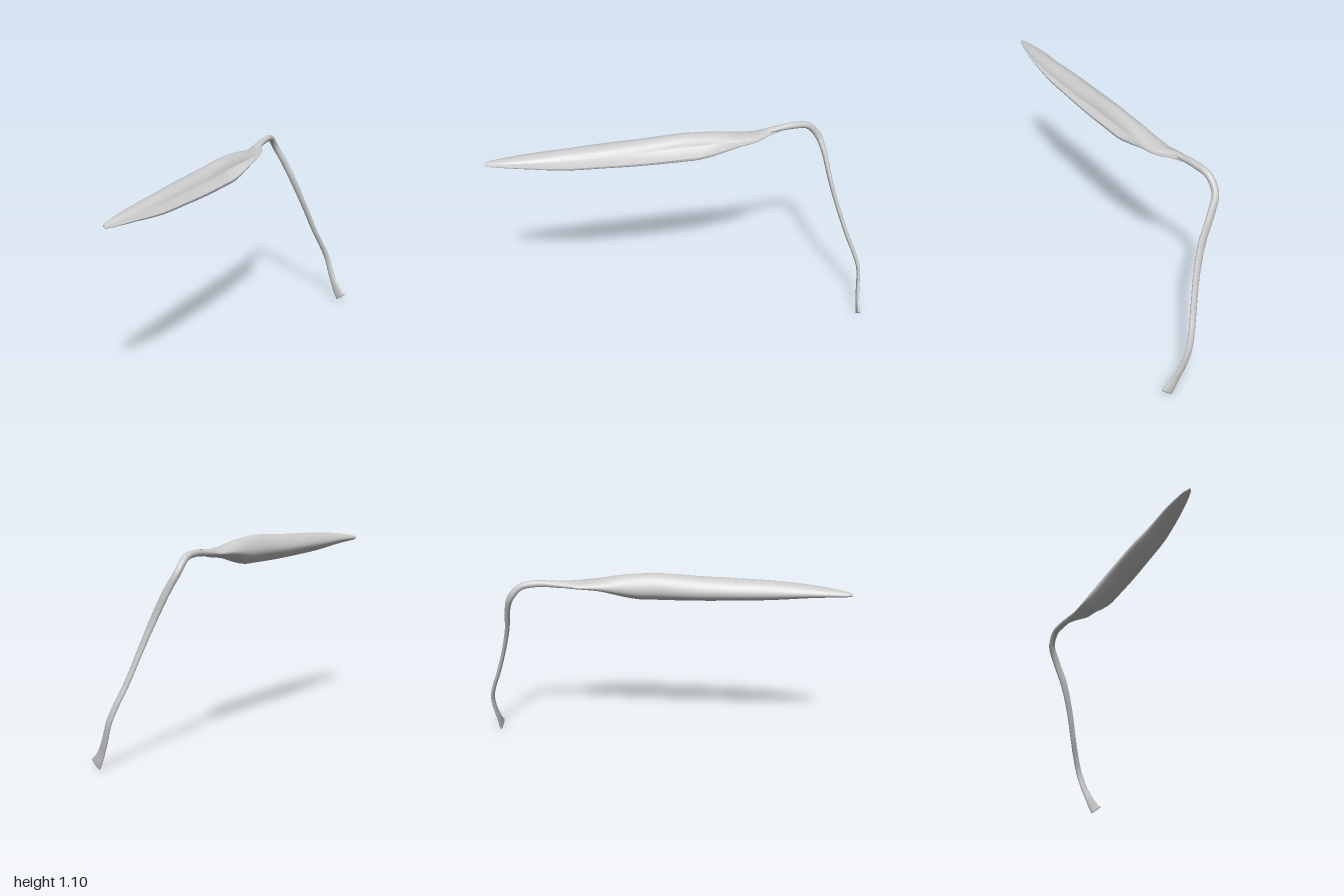
import * as THREE from 'three';

const V = (x, y, z) => new THREE.Vector3(x, y, z);

// Smooth surface through a grid of point rows; closed rows wrap around.
function loft(rows, closed) {
  const n = rows[0].length, pos = [], idx = [];
  rows.forEach(r => r.forEach(p => pos.push(p.x, p.y, p.z)));
  for (let i = 0; i < rows.length - 1; i++) {
    for (let j = 0; j < (closed ? n : n - 1); j++) {
      const k = (j + 1) % n;
      const a = i * n + j, b = i * n + k, c = a + n, d = b + n;
      idx.push(a, b, c, b, d, c);
    }
  }
  const g = new THREE.BufferGeometry();
  g.setAttribute('position', new THREE.Float32BufferAttribute(pos, 3));
  g.setIndex(idx);
  g.computeVertexNormals();
  return g;
}

// Curled blade: one C-shaped section, open towards +x, fitted to each station.
function bladeGeometry() {
  const section = new THREE.CatmullRomCurve3([
    [1, 0.38], [0.78, 0.7], [0.4, 0.93], [0, 1], [-0.5, 0.82], [-0.86, 0.42], [-1, 0],
    [-0.9, -0.35], [-0.5, -0.7], [0, -0.93], [0.4, -1], [0.58, -0.92], [0.62, -0.74],
  ].map(([u, v]) => V(u, v, 0))).getPoints(36);
  // z, left x, right x, bottom y, top y
  const stations = [
    [-0.54, -0.145, -0.115, 1.035, 1.066],
    [-0.47, -0.14, -0.085, 1.02, 1.06],
    [-0.4, -0.13, -0.03, 1.01, 1.055],
    [-0.3, -0.115, 0, 0.997, 1.066],
    [-0.2, -0.1, 0.017, 0.97, 1.085],
    [-0.1, -0.085, 0.035, 0.951, 1.095],
    [0, -0.07, 0.05, 0.95, 1.1],
    [0.2, -0.05, 0.08, 0.952, 1.09],
    [0.4, -0.025, 0.105, 0.96, 1.083],
    [0.6, 0.01, 0.125, 0.97, 1.075],
    [0.8, 0.037, 0.13, 0.993, 1.06],
    [0.92, 0.06, 0.118, 1.004, 1.045],
    [0.98, 0.075, 0.107, 1.01, 1.035],
    [1, 0.088, 0.1, 1.015, 1.03],
  ];
  const low = new THREE.CatmullRomCurve3(stations.map(s => V(s[1], s[3], s[0])));
  const high = new THREE.CatmullRomCurve3(stations.map(s => V(s[2], s[4], s[0])));
  const rows = [], N = 52;
  for (let i = 0; i <= N; i++) {
    const a = low.getPoint(i / N), b = high.getPoint(i / N);
    rows.push(section.map(p => V(
      THREE.MathUtils.lerp(a.x, b.x, (p.x + 1) / 2),
      THREE.MathUtils.lerp(a.y, b.y, (p.y + 1) / 2),
      a.z)));
  }
  return loft(rows, false);
}

// Stalk: flattened oval swept along a bent path, flaring at the foot.
function stalkGeometry() {
  // x, y, z, half width, half thickness
  const stations = [
    [-0.125, 1.035, -0.42, 0.008, 0.008],
    [-0.13, 1.043, -0.5, 0.018, 0.015],
    [-0.15, 1.05, -0.6, 0.018, 0.018],
    [-0.175, 1.035, -0.69, 0.018, 0.018],
    [-0.181, 0.97, -0.75, 0.018, 0.018],
    [-0.143, 0.88, -0.785, 0.021, 0.014],
    [-0.085, 0.75, -0.815, 0.021, 0.012],
    [-0.037, 0.6, -0.86, 0.018, 0.011],
    [0.006, 0.43, -0.92, 0.017, 0.011],
    [0.032, 0.34, -0.958, 0.017, 0.011],
    [0.06, 0.25, -0.985, 0.018, 0.01],
    [0.095, 0.15, -0.985, 0.02, 0.009],
    [0.127, 0.085, -0.981, 0.024, 0.009],
    [0.152, 0.042, -0.982, 0.031, 0.009],
    [0.17, 0.019, -0.982, 0.037, 0.009],
  ];
  const path = new THREE.CatmullRomCurve3(stations.map(s => V(s[0], s[1], s[2])));
  const size = new THREE.CatmullRomCurve3(stations.map((s, i) => V(s[3], s[4], i)));
  const rows = [], N = 84, sides = 16;
  for (let i = 0; i <= N; i++) {
    const t = i / N, c = path.getPoint(t), s = size.getPoint(t), T = path.getTangent(t);
    // The flat face looks up near the blade and backwards on the way down.
    const k = THREE.MathUtils.smoothstep(t, 0.12, 0.36);
    const n = V(0, 1 - k, -k).addScaledVector(T, -V(0, 1 - k, -k).dot(T)).normalize();
    const w = V(0, 0, 0).crossVectors(T, n);
    const ring = [];
    for (let j = 0; j < sides; j++) {
      const a = j / sides * Math.PI * 2;
      ring.push(c.clone().addScaledVector(w, s.x * Math.cos(a)).addScaledVector(n, s.y * Math.sin(a)));
    }
    rows.push(ring);
  }
  // Close the foot.
  const end = path.getPoint(1);
  rows.push(rows[N].map(() => end.clone()));
  return loft(rows, true);
}

export function createModel() {
  const group = new THREE.Group();
  group.name = 'curledLeaf';
  const material = new THREE.MeshStandardMaterial({ color: 0xcccccc, side: THREE.DoubleSide });
  const add = (name, geometry) => {
    const mesh = new THREE.Mesh(geometry, material);
    mesh.name = name;
    group.add(mesh);
  };
  add('blade', bladeGeometry());
  add('stalk', stalkGeometry());
  return group;
}
